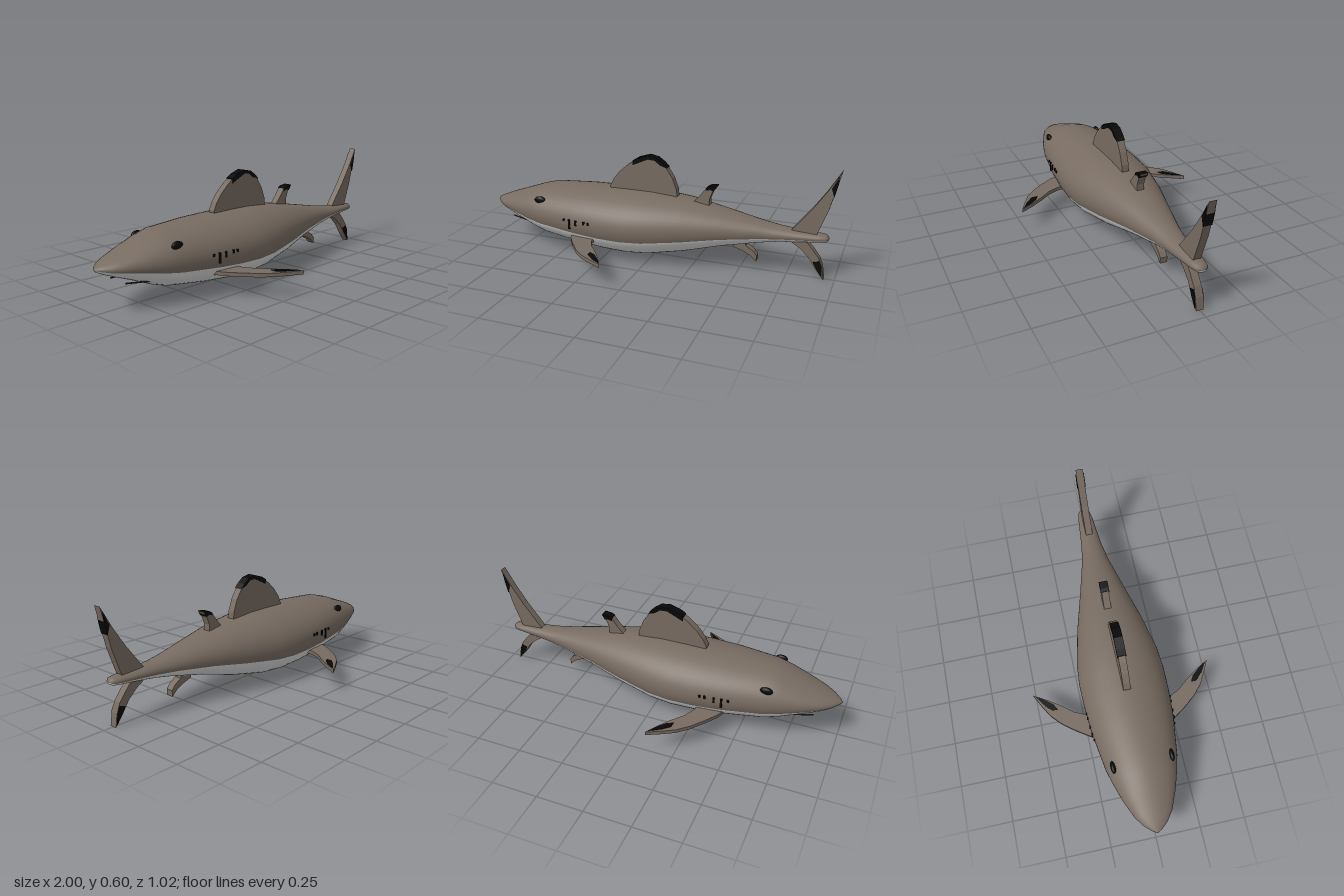
import * as THREE from 'three';

const mat = (name, color, side = THREE.FrontSide) => {
  const m = new THREE.MeshStandardMaterial({ color, side });
  m.name = name;
  return m;
};

export function createModel() {
  const model = new THREE.Group();
  model.name = 'shark';
  const skin = mat('brown skin', 0x776b61);
  const belly = mat('pale belly', 0xd8dad8);
  const black = mat('black markings', 0x080808);
  const dark = mat('dark mouth', 0x2e2a27);

  const add = (name, geometry, material) => {
    const mesh = new THREE.Mesh(geometry, material);
    mesh.name = name;
    model.add(mesh);
    return mesh;
  };

  // Body: elliptical rings along x, each [x, top, bottom, half width]
  const rings = [
    [-1, 0.217, 0.217, 0], [-0.985, 0.23, 0.205, 0.025], [-0.95, 0.245, 0.188, 0.064],
    [-0.9, 0.265, 0.168, 0.1], [-0.8, 0.3, 0.13, 0.143], [-0.7, 0.336, 0.088, 0.176],
    [-0.62, 0.357, 0.063, 0.197], [-0.4, 0.37, 0.034, 0.23], [-0.25, 0.373, 0.02, 0.24],
    [-0.12, 0.375, 0.016, 0.242], [0, 0.374, 0.025, 0.232], [0.2, 0.358, 0.065, 0.188],
    [0.4, 0.322, 0.12, 0.132], [0.6, 0.283, 0.164, 0.08], [0.7, 0.267, 0.182, 0.062],
    [0.8, 0.258, 0.195, 0.051], [0.9, 0.253, 0.205, 0.042], [0.94, 0.25, 0.209, 0.033],
    [0.953, 0.242, 0.215, 0.02], [0.957, 0.228, 0.228, 0],
  ];
  const upper = 28, lower = 20, n = upper + lower;
  const split = THREE.MathUtils.degToRad(18);
  const angle = (j) => j < upper
    ? -split + (j / upper) * (Math.PI + 2 * split)
    : Math.PI + split + ((j - upper) / lower) * (Math.PI - 2 * split);
  const positions = [];
  for (const [x, top, bottom, half] of rings) {
    for (let j = 0; j < n; j++) {
      positions.push(x, (top + bottom) / 2 + (top - bottom) / 2 * Math.sin(angle(j)), half * Math.cos(angle(j)));
    }
  }
  const strip = (from, to) => {
    const out = [];
    for (let i = 0; i < rings.length - 1; i++) {
      for (let j = from; j < to; j++) {
        const k = (j + 1) % n, a = i * n, b = a + n;
        out.push(a + j, b + j, b + k, a + j, b + k, a + k);
      }
    }
    return out;
  };
  const back = strip(0, upper), under = strip(upper, n);
  const body = new THREE.BufferGeometry();
  body.setAttribute('position', new THREE.Float32BufferAttribute(positions, 3));
  body.setIndex([...back, ...under]);
  body.addGroup(0, back.length, 0);
  body.addGroup(back.length, under.length, 1);
  body.computeVertexNormals();
  add('body', body, [skin, belly]);

  // Flat slab with a given outline, centred on its own plane
  const slab = (points, depth) => {
    const shape = new THREE.Shape(points.map(([x, y]) => new THREE.Vector2(x, y)));
    return new THREE.ExtrudeGeometry(shape, { depth, bevelEnabled: false }).translate(0, 0, -depth / 2);
  };

  // Upright fins and their black tips
  const fins = {
    dorsalFin: [[-0.255, 0.34], [-0.255, 0.385], [-0.235, 0.425], [-0.2, 0.47], [-0.15, 0.515], [-0.09, 0.555],
      [-0.03, 0.573], [0.02, 0.563], [0.07, 0.525], [0.11, 0.465], [0.135, 0.4], [0.14, 0.34]],
    secondDorsalFin: [[0.23, 0.32], [0.23, 0.345], [0.27, 0.39], [0.3, 0.43], [0.32, 0.44], [0.36, 0.445],
      [0.335, 0.41], [0.32, 0.37], [0.32, 0.31]],
    upperTailFin: [[0.765, 0.23], [0.765, 0.258], [0.87, 0.395], [0.93, 0.485], [0.996, 0.598],
      [0.97, 0.49], [0.945, 0.39], [0.92, 0.32], [0.895, 0.25], [0.89, 0.23]],
    lowerTailFin: [[0.765, 0.22], [0.765, 0.193], [0.81, 0.165], [0.86, 0.12], [0.9, 0.06], [0.945, 0.002],
      [0.935, 0.07], [0.915, 0.12], [0.88, 0.165], [0.84, 0.21]],
    analFin: [[0.46, 0.16], [0.46, 0.12], [0.52, 0.1], [0.555, 0.082], [0.588, 0.052],
      [0.59, 0.085], [0.57, 0.11], [0.53, 0.135], [0.52, 0.17]],
  };
  const tips = {
    dorsalTip: [[-0.12, 0.515], [-0.12, 0.54], [-0.09, 0.558], [-0.03, 0.577], [0.02, 0.567], [0.055, 0.542],
      [0.08, 0.517], [0.04, 0.53], [0.01, 0.553], [-0.03, 0.556], [-0.07, 0.538]],
    secondDorsalTip: [[0.3, 0.418], [0.302, 0.433], [0.32, 0.443], [0.36, 0.447], [0.342, 0.418], [0.325, 0.425]],
    upperTailTip: [[0.95, 0.505], [0.985, 0.575], [0.978, 0.52], [0.965, 0.46]],
    lowerTailTip: [[0.885, 0.095], [0.905, 0.06], [0.938, 0.015], [0.932, 0.075], [0.918, 0.105]],
  };
  for (const [name, outline] of Object.entries(fins)) add(name, slab(outline, 0.04), skin);
  for (const [name, outline] of Object.entries(tips)) add(name, slab(outline, 0.048), black);

  // Side fins lie flat; outlines are [x, distance from the middle]
  const pectoral = [[-0.43, 0.17], [-0.405, 0.235], [-0.355, 0.31], [-0.3, 0.38], [-0.24, 0.435], [-0.17, 0.475],
    [-0.105, 0.508], [-0.15, 0.43], [-0.195, 0.365], [-0.245, 0.305], [-0.275, 0.24], [-0.28, 0.17]];
  const pectoralTip = [[-0.215, 0.385], [-0.213, 0.42], [-0.17, 0.46], [-0.115, 0.495], [-0.145, 0.447], [-0.18, 0.405]];
  for (const side of [1, -1]) {
    const label = side > 0 ? 'front' : 'rear';
    const lay = (g) => g.rotateX(side * Math.PI / 2).translate(0, 0.12, 0);
    add(label + 'PectoralFin', lay(slab(pectoral, 0.02)), skin);
    add(label + 'PectoralTip', lay(slab(pectoralTip, 0.025)), black);

    // Eye
    const eye = new THREE.SphereGeometry(1, 20, 12).scale(0.034, 0.021, 0.014);
    add(label + 'Eye', eye.translate(-0.63, 0.295, side * 0.158), black);

    // Gill slits: [x, y, height, offset]
    for (const [x, y, h, z] of [[-0.45, 0.222, 0.012, 0.224], [-0.415, 0.203, 0.055, 0.229],
      [-0.375, 0.214, 0.03, 0.232], [-0.325, 0.22, 0.018, 0.235], [-0.298, 0.22, 0.014, 0.237]]) {
      add(label + 'GillSlit', new THREE.BoxGeometry(0.011, h, 0.012).translate(x, y, side * (z - 0.003)), black);
    }

    // Mouth line
    const line = new THREE.LineCurve3(
      new THREE.Vector3(-0.87, 0.139, side * 0.06), new THREE.Vector3(-0.71, 0.127, side * 0.1));
    add(label + 'MouthLine', new THREE.TubeGeometry(line, 1, 0.004, 6), dark);
  }
  return model;
}
